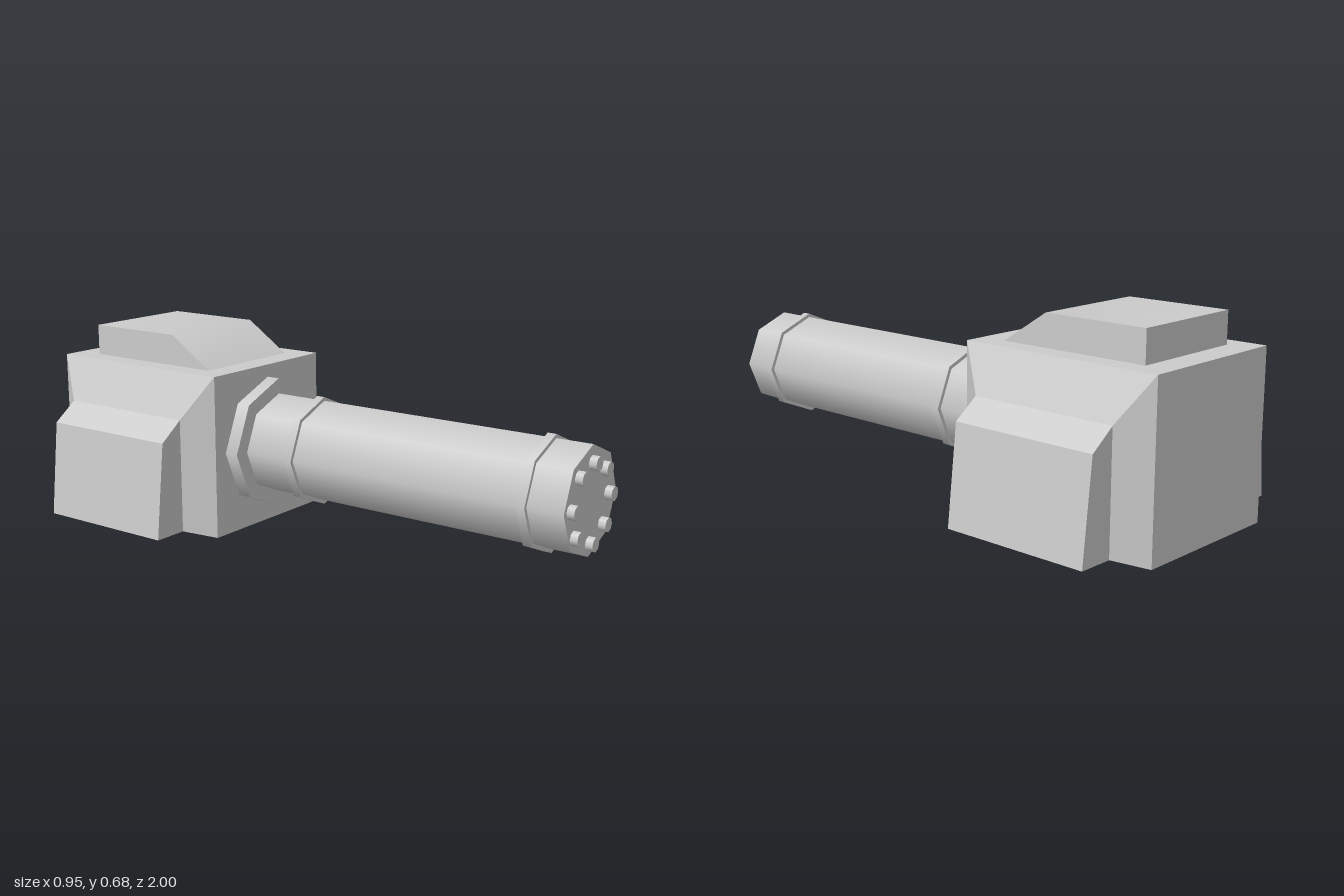
import * as THREE from 'three';
import { ConvexGeometry } from 'three/addons/geometries/ConvexGeometry.js';
import { toCreasedNormals } from 'three/addons/utils/BufferGeometryUtils.js';

const grey = new THREE.MeshStandardMaterial({ color: 0xcccccc });
const AXIS_Y = 0.291; // height of the barrel axis

export function createModel() {
  const model = new THREE.Group();
  const add = (name, geometry) => {
    const mesh = new THREE.Mesh(geometry, grey);
    mesh.name = name;
    model.add(mesh);
  };

  // Eight-sided drum along z with smooth sides
  const drum = (name, radius, back, front, x = 0, y = AXIS_Y) => {
    const g = new THREE.CylinderGeometry(radius, radius, front - back, 8);
    g.rotateX(Math.PI / 2).translate(x, y, (back + front) / 2);
    add(name, g);
  };

  const extrude = (points, depth) => new THREE.ExtrudeGeometry(
    new THREE.Shape(points.map(([x, y]) => new THREE.Vector2(x, y))),
    { depth, bevelEnabled: false });

  // Housing: a block whose left and right sides taper outwards
  const corners = [];
  for (const side of [-1, 1]) {
    for (const [x, y0, y1, z0, z1] of [[0.283, 0, 0.567, -1, -0.28], [0.35, 0.022, 0.417, -0.9, -0.38]]) {
      for (const y of [y0, y1]) for (const z of [z0, z1]) corners.push(new THREE.Vector3(side * x, y, z));
    }
  }
  add('housing', new ConvexGeometry(corners));

  // Side pods, mirrored
  const pod = [[0.35, 0.022], [0.473, 0.022], [0.437, 0.353], [0.35, 0.417]];
  for (const [name, side] of [['leftPod', 1], ['rightPod', -1]]) {
    add(name, extrude(pod.map(([x, y]) => [side * x, y]), 0.52).translate(0, 0, -0.9));
  }

  // Roof hatch with a softly shaded front slope
  const roof = extrude([[-0.905, 0.56], [-0.37, 0.56], [-0.37, 0.567], [-0.535, 0.675], [-0.905, 0.675]], 0.42);
  roof.rotateY(-Math.PI / 2).translate(0.21, 0, 0);
  add('roofHatch', toCreasedNormals(roof, 0.75));

  // Barrel, mounting flange and bands
  drum('barrelFlange', 0.232, -0.285, -0.23);
  drum('barrel', 0.178, -0.24, 0.975);
  drum('rearBand', 0.191, -0.06, -0.03);
  drum('frontBand', 0.191, 0.822, 0.852);

  // Studs on the muzzle face, unevenly spaced
  const studs = [[-0.002, 0.412], [0.077, 0.378], [0.117, 0.291], [0.083, 0.199],
    [-0.002, 0.157], [-0.108, 0.202], [-0.138, 0.291], [-0.092, 0.384]];
  studs.forEach(([x, y], i) => drum(`muzzleStud${i + 1}`, 0.024, 0.97, 1, x, y));

  return model;
}
